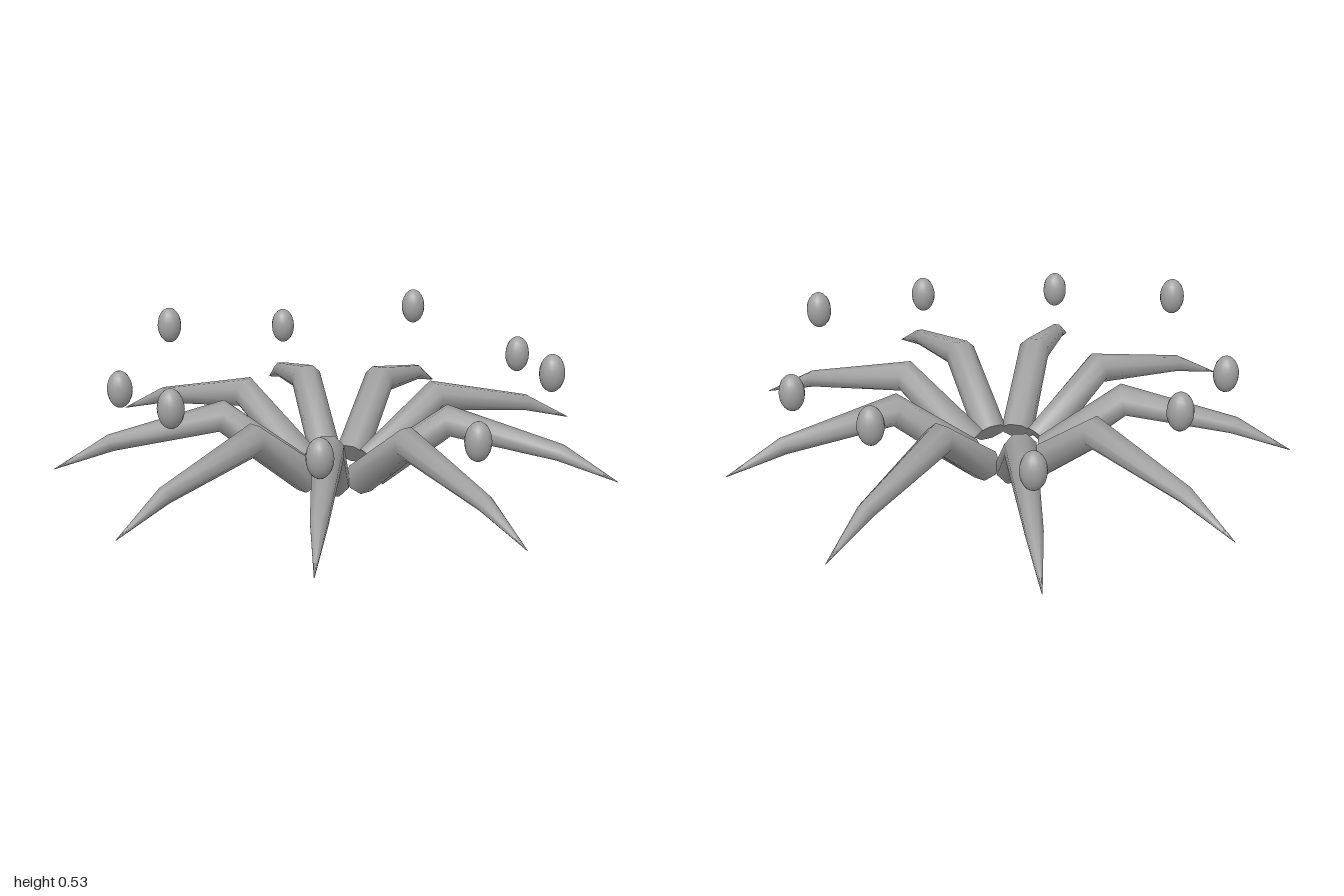
import * as THREE from 'three';

const COUNT = 9;
const SIDES = 8;

// Leg stations: [distance from hub, height, radius, tilt of the cross-section in radians]
const STATIONS = [
  [0.145, 0.043, 0.06, 0.68],
  [0.412, 0.257, 0.058, 0.2],
  [0.81, 0.17, 0.031, -0.36],
  [1.015, 0.078, 0.001, -0.42],
];

// Tapered, bent tube swept through the stations, with a flat base cap
function legGeometry() {
  const pos = [], idx = [];
  const ring = ([d, h, r, tilt]) => {
    for (let j = 0; j < SIDES; j++) {
      const a = ((j + 0.5) / SIDES) * Math.PI * 2;
      const up = Math.sin(a) * r;
      pos.push(d - up * Math.sin(tilt), h + up * Math.cos(tilt), Math.cos(a) * r);
    }
  };
  STATIONS.forEach(ring);
  for (let i = 0; i < STATIONS.length - 1; i++) {
    for (let j = 0; j < SIDES; j++) {
      const k = (j + 1) % SIDES;
      const a = i * SIDES + j, b = i * SIDES + k;
      idx.push(a, b, a + SIDES, b, b + SIDES, a + SIDES);
    }
  }
  // separate ring for the cap keeps its edge sharp
  const start = pos.length / 3;
  ring(STATIONS[0]);
  for (let j = 1; j < SIDES - 1; j++) idx.push(start, start + j + 1, start + j);

  const g = new THREE.BufferGeometry();
  g.setAttribute('position', new THREE.Float32BufferAttribute(pos, 3));
  g.setIndex(idx);
  // make sure the winding faces outward
  const p = (n) => new THREE.Vector3().fromArray(pos, n * 3);
  const normal = p(idx[1]).sub(p(idx[0])).cross(p(idx[2]).sub(p(idx[0])));
  const outward = p(idx[0]).sub(new THREE.Vector3(STATIONS[0][0], STATIONS[0][1], 0));
  if (normal.dot(outward) < 0) {
    for (let t = 0; t < idx.length; t += 3) [idx[t + 1], idx[t + 2]] = [idx[t + 2], idx[t + 1]];
    g.setIndex(idx);
  }
  g.computeVertexNormals();
  return g;
}

export function createModel() {
  const model = new THREE.Group();
  model.name = 'legRing';
  const grey = new THREE.MeshStandardMaterial({ color: 0xa0a0a0 });
  grey.name = 'grey';

  const legGeo = legGeometry();
  const eggGeo = new THREE.SphereGeometry(0.045, 16, 12);
  eggGeo.scale(1, 1.5, 1);

  for (let i = 0; i < COUNT; i++) {
    const arm = new THREE.Group();
    arm.name = 'arm' + (i + 1);
    arm.rotation.y = (i / COUNT) * Math.PI * 2;

    // bent leg
    const leg = new THREE.Mesh(legGeo, grey);
    leg.name = 'leg';

    // floating egg, alternating between two heights
    const egg = new THREE.Mesh(eggGeo, grey);
    egg.name = 'floatingEgg';
    egg.position.set(0.768, i % 2 ? 0.46 : 0.37, 0);

    arm.add(leg, egg);
    arm.position.x = -0.031;
    model.add(arm);
  }
  return model;
}
